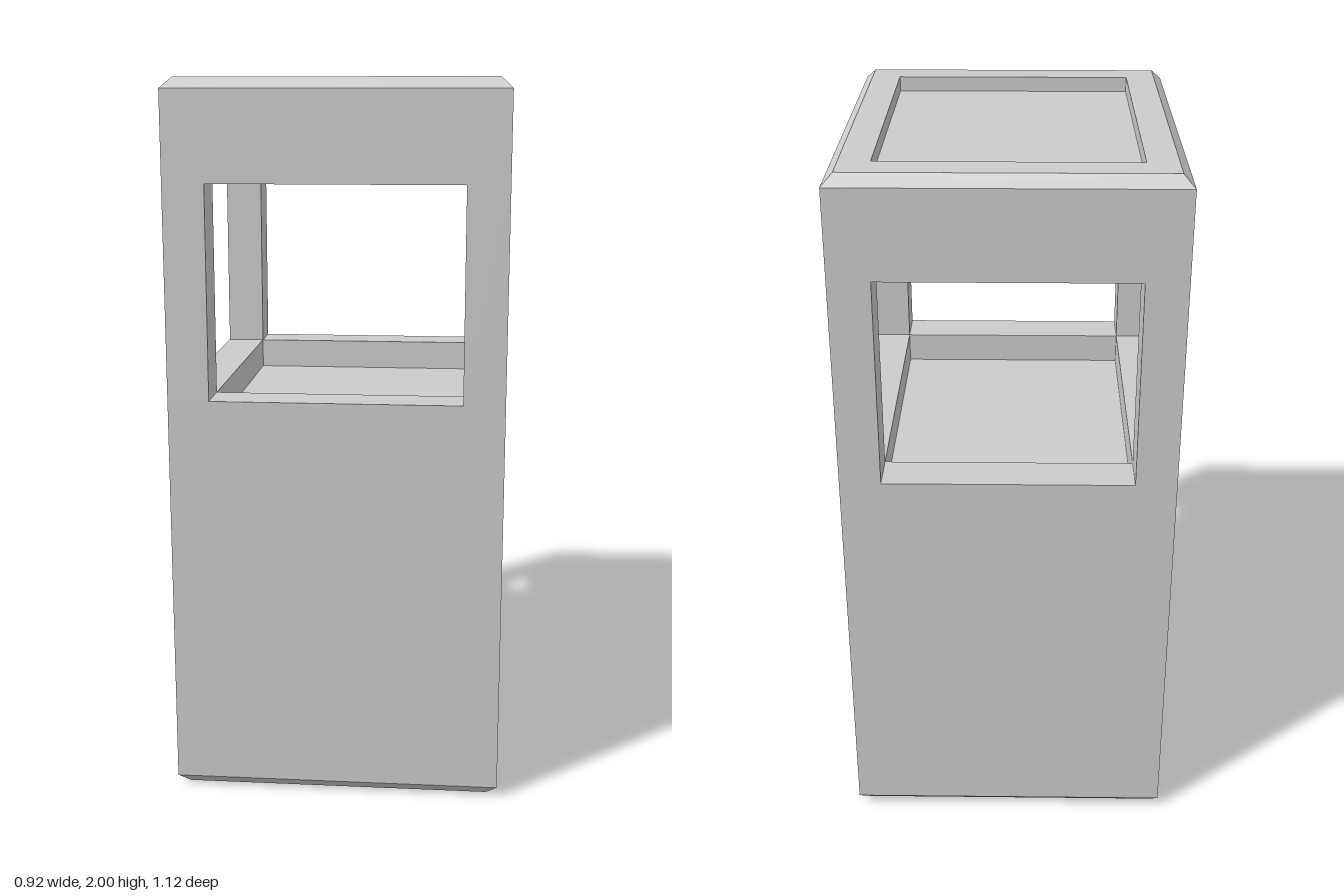
import * as THREE from 'three';

const W = 0.459, D = 0.56;         // outer half width and half depth
const IW = 0.345, ID = 0.437;      // half size of the openings and recesses
const SILL = 1.14, HEAD = 1.725, TOP = 2, BEVEL = 0.03;

// Skins a stack of rectangular rings [halfX, halfZ, y], optionally closing both ends.
function loftRings(rings, capped) {
  const pos = [];
  const corners = ([x, z, y]) => [[-x, y, z], [x, y, z], [x, y, -z], [-x, y, -z]];
  const quad = (a, b, c, d) => pos.push(...a, ...b, ...c, ...a, ...c, ...d);
  for (let i = 0; i < rings.length - 1; i++) {
    const lo = corners(rings[i]), hi = corners(rings[i + 1]);
    for (let k = 0; k < 4; k++) {
      const n = (k + 1) % 4;
      quad(lo[k], lo[n], hi[n], hi[k]);
    }
  }
  if (capped) {
    const b = corners(rings[0]), t = corners(rings[rings.length - 1]);
    quad(b[3], b[2], b[1], b[0]);
    quad(t[0], t[1], t[2], t[3]);
  }
  const geo = new THREE.BufferGeometry();
  geo.setAttribute('position', new THREE.Float32BufferAttribute(pos, 3));
  geo.computeVertexNormals();
  return geo;
}

export function createModel() {
  const model = new THREE.Group();
  model.name = 'litterBin';
  const material = new THREE.MeshStandardMaterial({ color: 0xcccccc, flatShading: true });
  const add = (name, geo) => {
    const mesh = new THREE.Mesh(geo, material);
    mesh.name = name;
    model.add(mesh);
    return mesh;
  };

  // Lower body: bevelled foot, straight walls, flat sill and sunken tray
  add('body', loftRings([
    [W - BEVEL, D - BEVEL, 0],
    [W, D, BEVEL],
    [W, D, SILL],
    [IW, ID, SILL],
    [IW, ID, SILL - 0.09],
  ], true));

  // Roof: flat underside, bevelled upper edge and shallow recess
  add('roof', loftRings([
    [W, D, HEAD],
    [W, D, TOP - BEVEL],
    [W - BEVEL, D - BEVEL, TOP],
    [IW, ID, TOP],
    [IW, ID, TOP - 0.043],
  ], true));

  // Four corner posts between sill and roof
  const px = (W - IW) / 2, pz = (D - ID) / 2;
  const postGeo = loftRings([[px, pz, SILL], [px, pz, HEAD]], false);
  for (const sx of [-1, 1]) {
    for (const sz of [-1, 1]) {
      const name = (sz > 0 ? 'front' : 'back') + (sx > 0 ? 'Left' : 'Right') + 'Post';
      add(name, postGeo).position.set(sx * (W - px), 0, sz * (D - pz));
    }
  }
  return model;
}
